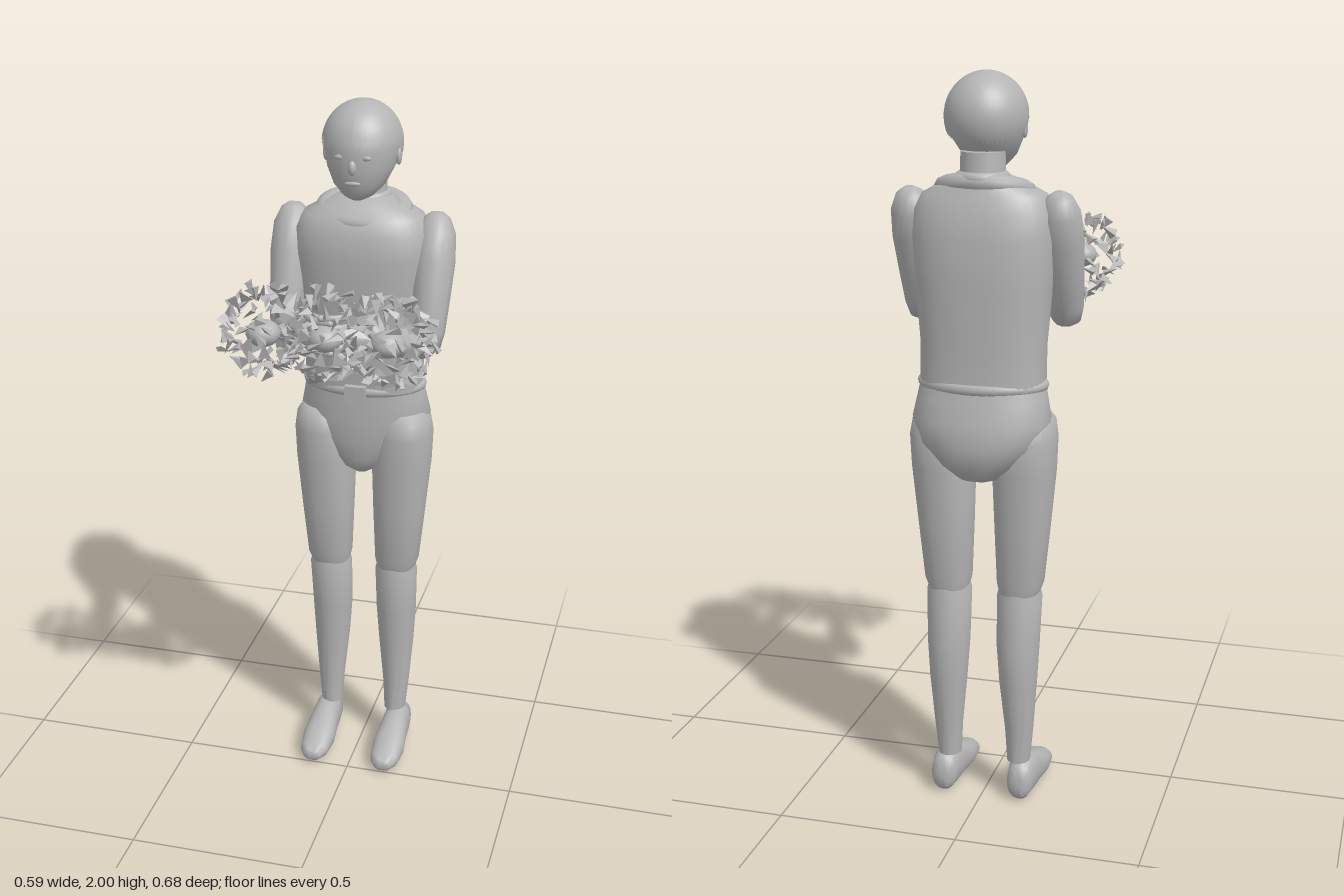
import * as THREE from 'three';
import { mergeGeometries, toCreasedNormals } from 'three/addons/utils/BufferGeometryUtils.js';

const V = (x, y, z) => new THREE.Vector3(x, y, z);

// Closed skin over horizontal sections [y, centreX, halfWidth, zBack, zFront], bottom to top
function loft(sections, power = 2, n = 28) {
  const pos = [], idx = [], last = sections.length - 1;
  const bend = c => Math.sign(c) * Math.abs(c) ** (2 / power);
  sections.forEach(([y, cx, rx, z0, z1]) => {
    for (let i = 0; i < n; i++) {
      const a = i / n * Math.PI * 2;
      pos.push(cx + rx * bend(Math.sin(a)), y, (z0 + z1) / 2 + (z1 - z0) / 2 * bend(Math.cos(a)));
    }
  });
  for (const k of [0, last]) pos.push(sections[k][1], sections[k][0], (sections[k][3] + sections[k][4]) / 2);
  for (let j = 0; j < last; j++) for (let i = 0; i < n; i++) {
    const a = j * n + i, b = j * n + (i + 1) % n;
    idx.push(a, b, b + n, a, b + n, a + n);
  }
  const bottom = (last + 1) * n;
  for (let i = 0; i < n; i++) {
    const k = (i + 1) % n;
    idx.push(bottom, k, i, bottom + 1, last * n + i, last * n + k);
  }
  const g = new THREE.BufferGeometry();
  g.setAttribute('position', new THREE.Float32BufferAttribute(pos, 3));
  g.setIndex(idx);
  return toCreasedNormals(g, 1.0);
}

// Round limb from a to b; radii are [fraction, radius]
function limb(a, b, radii) {
  const d = b.clone().sub(a), len = d.length();
  const g = loft(radii.map(([t, r]) => [t * len, 0, r, -r, r]), 2, 18);
  g.applyQuaternion(new THREE.Quaternion().setFromUnitVectors(V(0, 1, 0), d.normalize()));
  return g.translate(a.x, a.y, a.z);
}

function ball(x, y, z, rx, ry, rz) {
  return new THREE.SphereGeometry(1, 20, 14).scale(rx, ry, rz).translate(x, y, z);
}

// Cap of hair, cut short over the face and long at the nape
function hairCap() {
  const g = new THREE.SphereGeometry(1, 48, 14), p = g.attributes.position, uv = g.attributes.uv;
  for (let i = 0; i < p.count; i++) {
    let a = uv.getX(i) * Math.PI * 2;
    if (a > Math.PI) a = Math.PI * 2 - a;
    const side = uv.getX(i) > 0.5 ? -1 : 1;
    const edge = a < 1.3 ? 1.91 - 0.012 * a : a < 1.65 ? 1.895 - (a - 1.3) * 0.2 : 1.825 + 0.008 * Math.sin(a * 4);
    const th = (1 - uv.getY(i)) * Math.acos((edge - 1.885) / 0.115);
    p.setXYZ(i, side * 0.109 * Math.sin(th) * Math.sin(a), 1.885 + 0.115 * Math.cos(th), -0.164 + 0.12 * Math.sin(th) * Math.cos(a));
  }
  g.computeVertexNormals();
  return g;
}

// Shell of small three-sided petals
function petals(cx, count, seed) {
  let s = seed;
  const rnd = () => (s = (s * 16807) % 2147483647) / 2147483647;
  const list = [], c = V(cx, 1.47, 0.205);
  for (let i = 0; i < count; i++) {
    const h = 1 - 2 * (i + 0.5) / count, a = i * 2.39996 + rnd() * 0.4, r = Math.sqrt(1 - h * h);
    const k = 0.85 + rnd() * 0.2;
    const at = V(0.115 * r * Math.cos(a), 0.115 * h, 0.115 * r * Math.sin(a)).multiplyScalar(k).add(c);
    const g = new THREE.ConeGeometry(0.019, 0.036 + rnd() * 0.012, 3, 1).toNonIndexed();
    g.scale(1, 1, 0.45);
    g.rotateX(rnd() * 6.28).rotateY(rnd() * 6.28).rotateZ(rnd() * 6.28);
    g.translate(at.x, at.y, at.z);
    g.computeVertexNormals();
    list.push(g);
  }
  return mergeGeometries(list);
}

export function createModel() {
  const model = new THREE.Group();
  model.name = 'figureWithFlowers';
  const grey = new THREE.MeshStandardMaterial({ color: 0xb4b4b4, side: THREE.DoubleSide });
  grey.name = 'grey';
  const add = (name, geometry) => {
    const m = new THREE.Mesh(geometry, grey);
    m.name = name;
    model.add(m);
    return m;
  };

  // Head
  add('head', loft([
    [1.745, 0, 0.018, -0.14, -0.09], [1.755, 0, 0.04, -0.17, -0.075], [1.785, 0, 0.07, -0.21, -0.058],
    [1.83, 0, 0.092, -0.255, -0.049], [1.88, 0, 0.103, -0.275, -0.047], [1.92, 0, 0.1, -0.272, -0.052],
    [1.96, 0, 0.075, -0.245, -0.085], [1.985, 0, 0.03, -0.2, -0.13],
  ]));
  add('hair', hairCap());
  add('nose', ball(0, 1.842, -0.049, 0.011, 0.02, 0.012));
  add('mouth', ball(0, 1.799, -0.055, 0.022, 0.006, 0.005));
  for (const s of [-1, 1]) {
    add('eye', ball(s * 0.036, 1.868, -0.056, 0.013, 0.007, 0.005));
    add('ear', ball(s * 0.1, 1.855, -0.16, 0.008, 0.024, 0.014));
  }
  add('neck', loft([[1.66, 0, 0.07, -0.27, -0.13], [1.72, 0, 0.06, -0.262, -0.14], [1.8, 0, 0.058, -0.255, -0.14]]));

  // Trunk
  add('torso', loft([
    [1.19, 0, 0.168, -0.308, -0.098], [1.3, 0, 0.168, -0.305, -0.088], [1.45, 0, 0.18, -0.31, -0.072],
    [1.58, 0, 0.19, -0.308, -0.062], [1.65, 0, 0.186, -0.295, -0.066], [1.69, 0, 0.165, -0.28, -0.085],
    [1.715, 0, 0.12, -0.27, -0.105], [1.74, 0, 0.065, -0.262, -0.135],
  ], 2.5, 36));
  const cowl = add('collar', new THREE.TorusGeometry(0.088, 0.03, 10, 32).rotateX(Math.PI / 2));
  cowl.scale.set(1.15, 0.85, 0.88);
  cowl.rotation.x = 0.3;
  cowl.position.set(0, 1.702, -0.178);
  const neckBand = add('neckBand', new THREE.TorusGeometry(0.056, 0.016, 10, 28).rotateX(Math.PI / 2));
  neckBand.position.set(0, 1.735, -0.205);
  const belt = add('belt', new THREE.TorusGeometry(0.164, 0.014, 10, 40).rotateX(Math.PI / 2));
  belt.scale.z = 0.64;
  belt.position.set(0, 1.195, -0.204);
  const buckle = add('buckle', new THREE.BoxGeometry(0.06, 0.044, 0.018));
  buckle.position.set(0, 1.194, -0.087);
  add('pelvis', loft([
    [0.925, 0, 0.025, -0.24, -0.15], [0.945, 0, 0.065, -0.3, -0.125], [0.98, 0, 0.11, -0.33, -0.112],
    [1.04, 0, 0.168, -0.343, -0.103], [1.1, 0, 0.188, -0.336, -0.1], [1.16, 0, 0.176, -0.318, -0.1], [1.2, 0, 0.168, -0.308, -0.1],
  ], 2.2, 32));

  for (const s of [-1, 1]) {
    // Leg
    add('thigh', loft([
      [0.61, s * 0.1, 0.055, -0.258, -0.142], [0.64, s * 0.102, 0.064, -0.264, -0.132], [0.8, s * 0.107, 0.075, -0.276, -0.118],
      [0.96, s * 0.112, 0.085, -0.29, -0.105], [1.05, s * 0.12, 0.08, -0.295, -0.1], [1.095, s * 0.125, 0.068, -0.28, -0.105],
      [1.12, s * 0.125, 0.05, -0.26, -0.125],
    ], 2.3));
    add('shin', loft([
      [0.11, s * 0.1, 0.032, -0.244, -0.17], [0.2, s * 0.102, 0.039, -0.25, -0.17], [0.35, s * 0.1, 0.052, -0.272, -0.157],
      [0.46, s * 0.099, 0.059, -0.277, -0.148], [0.6, s * 0.1, 0.062, -0.262, -0.135], [0.66, s * 0.1, 0.045, -0.25, -0.15],
    ]));
    // Foot, lofted from heel to toe
    const foot = loft([
      [-0.257, 0, 0.02, 0.015, 0.075], [-0.245, 0, 0.034, 0.004, 0.105], [-0.2, 0, 0.04, 0, 0.12], [-0.15, 0, 0.042, 0, 0.108],
      [-0.08, 0, 0.049, 0, 0.08], [-0.02, 0, 0.042, 0.003, 0.056], [0.005, 0, 0.026, 0.008, 0.044], [0.012, 0, 0.008, 0.015, 0.035],
    ], 2.3, 20);
    foot.rotateX(-Math.PI / 2).scale(1, 1, -1);
    // The rotation maps length to -z and height to y; turn the mirrored faces outward again
    const p = foot.attributes.position;
    for (let i = 0; i < p.count; i += 3) {
      const a = V().fromBufferAttribute(p, i), b = V().fromBufferAttribute(p, i + 1);
      p.setXYZ(i, b.x, b.y, b.z);
      p.setXYZ(i + 1, a.x, a.y, a.z);
    }
    foot.computeVertexNormals();
    add('foot', toCreasedNormals(foot, 1.0)).position.x = s * 0.11;

    // Arm
    add('upperArm', limb(V(s * 0.2, 1.7, -0.2), V(s * 0.202, 1.335, -0.085),
      [[0, 0.015], [0.04, 0.036], [0.15, 0.054], [0.35, 0.058], [0.6, 0.052], [0.85, 0.045], [0.96, 0.035], [1, 0.012]]));
    add('forearm', limb(V(s * 0.205, 1.36, -0.1), V(s * 0.098, 1.43, 0.125),
      [[0, 0.02], [0.08, 0.042], [0.3, 0.047], [0.6, 0.038], [0.95, 0.025], [1, 0.012]]));
    // Clasped hand
    add('palm', limb(V(s * 0.105, 1.43, 0.11), V(s * 0.045, 1.47, 0.2),
      [[0, 0.012], [0.15, 0.026], [0.6, 0.034], [0.9, 0.028], [1, 0.01]]));
    for (let i = 0; i < 4; i++) {
      const y = 1.435 + i * 0.027 + s * 0.006;
      const path = new THREE.CatmullRomCurve3([V(s * 0.065, y - 0.003, 0.17), V(s * 0.03, y, 0.212), V(-s * 0.012, y, 0.222)]);
      add('finger', new THREE.TubeGeometry(path, 8, 0.009, 8));
      add('fingertip', ball(-s * 0.012, y, 0.222, 0.009, 0.009, 0.009));
    }
  }

  // Three flower clusters
  [-0.165, 0, 0.165].forEach((x, i) => {
    add('petals', petals(x, 105, 71 + i * 997));
    add('flowerHeart', ball(x, 1.47, 0.225, 0.045, 0.035, 0.045));
  });
  return model;
}
